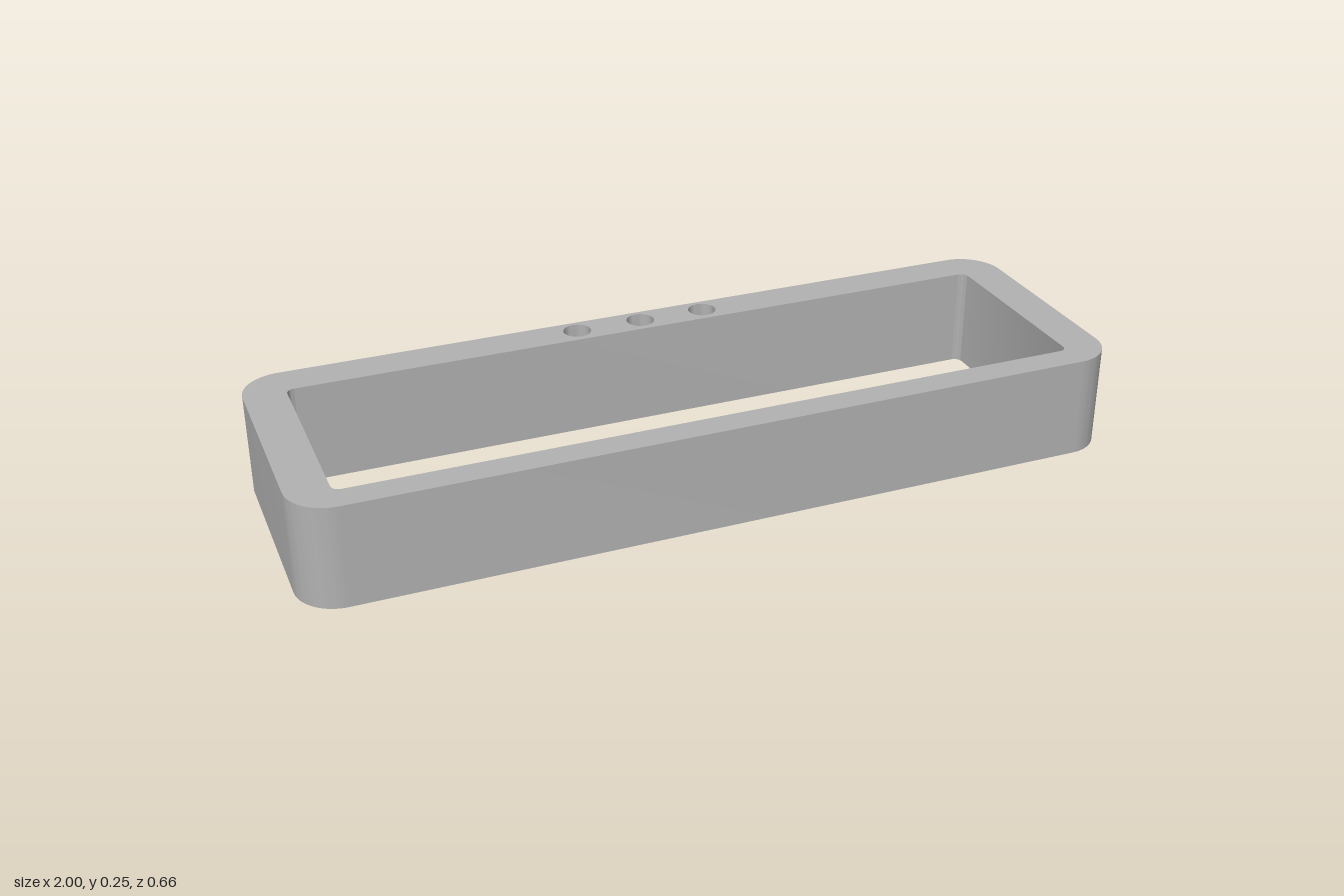
import * as THREE from 'three';
import { toCreasedNormals } from 'three/addons/utils/BufferGeometryUtils.js';

const HEIGHT = 0.25;
const POCKET = { radius: 0.035, depth: 0.033, z: -0.285, xs: [-0.167, 0, 0.167] };

// Rounded rectangle in plan; shape y is -z
function roundedRect(path, x0, y0, x1, y1, r) {
  path.absarc(x1 - r, y0 + r, r, -Math.PI / 2, 0);
  path.absarc(x1 - r, y1 - r, r, 0, Math.PI / 2);
  path.absarc(x0 + r, y1 - r, r, Math.PI / 2, Math.PI);
  path.absarc(x0 + r, y0 + r, r, Math.PI, Math.PI * 1.5);
  path.closePath();
  return path;
}

function frameOutline() {
  const shape = roundedRect(new THREE.Shape(), -1, -0.331, 1, 0.331, 0.1);
  shape.holes.push(roundedRect(new THREE.Path(), -0.9, -0.262, 0.9, 0.235, 0.02));
  return shape;
}

// Side walls only, taken from the extrusion's wall group
function wallGeometry(shape) {
  const solid = new THREE.ExtrudeGeometry(shape, { depth: HEIGHT, bevelEnabled: false, curveSegments: 10 });
  const { start, count } = solid.groups[1];
  const walls = new THREE.BufferGeometry();
  const xyz = solid.attributes.position.array.slice(start * 3, (start + count) * 3);
  walls.setAttribute('position', new THREE.BufferAttribute(xyz, 3));
  return toCreasedNormals(walls, 0.6).rotateX(-Math.PI / 2);
}

export function createModel() {
  const model = new THREE.Group();
  model.name = 'rectangularFrame';
  const grey = new THREE.MeshStandardMaterial({ color: 0xb2b2b2 });
  grey.name = 'grey';

  const add = (name, geometry) => {
    const mesh = new THREE.Mesh(geometry, grey);
    mesh.name = name;
    model.add(mesh);
    return mesh;
  };

  // Outer and inner walls
  add('frameWalls', wallGeometry(frameOutline()));

  // Plain underside
  add('frameUnderside', new THREE.ShapeGeometry(frameOutline(), 10).rotateX(Math.PI / 2).scale(1, 1, -1)
    .rotateX(0)).geometry = new THREE.ShapeGeometry(mirrored(frameOutline()), 10).rotateX(Math.PI / 2);

  // Top face, pierced by the three pockets
  const top = frameOutline();
  for (const x of POCKET.xs) {
    top.holes.push(new THREE.Path().absarc(x, -POCKET.z, POCKET.radius, 0, Math.PI * 2));
  }
  add('frameTop', new THREE.ShapeGeometry(top, 10).rotateX(-Math.PI / 2).translate(0, HEIGHT, 0));

  // Shallow round pockets in the back rail
  const { radius, depth } = POCKET;
  const profile = [[radius, 0], [radius, -depth], [0, -depth]].map(([x, y]) => new THREE.Vector2(x, y));
  const pocket = toCreasedNormals(new THREE.LatheGeometry(profile, 24), 0.6);
  POCKET.xs.forEach((x, i) => add(`pocket${i + 1}`, pocket).position.set(x, HEIGHT, POCKET.z));

  return model;
}

// Outline flipped front to back, for faces that look down
function mirrored(shape) {
  const flip = (points) => points.map((p) => new THREE.Vector2(p.x, -p.y));
  const { shape: outer, holes } = shape.extractPoints(10);
  const result = new THREE.Shape(flip(outer));
  result.holes = holes.map((hole) => new THREE.Path(flip(hole)));
  return result;
}
